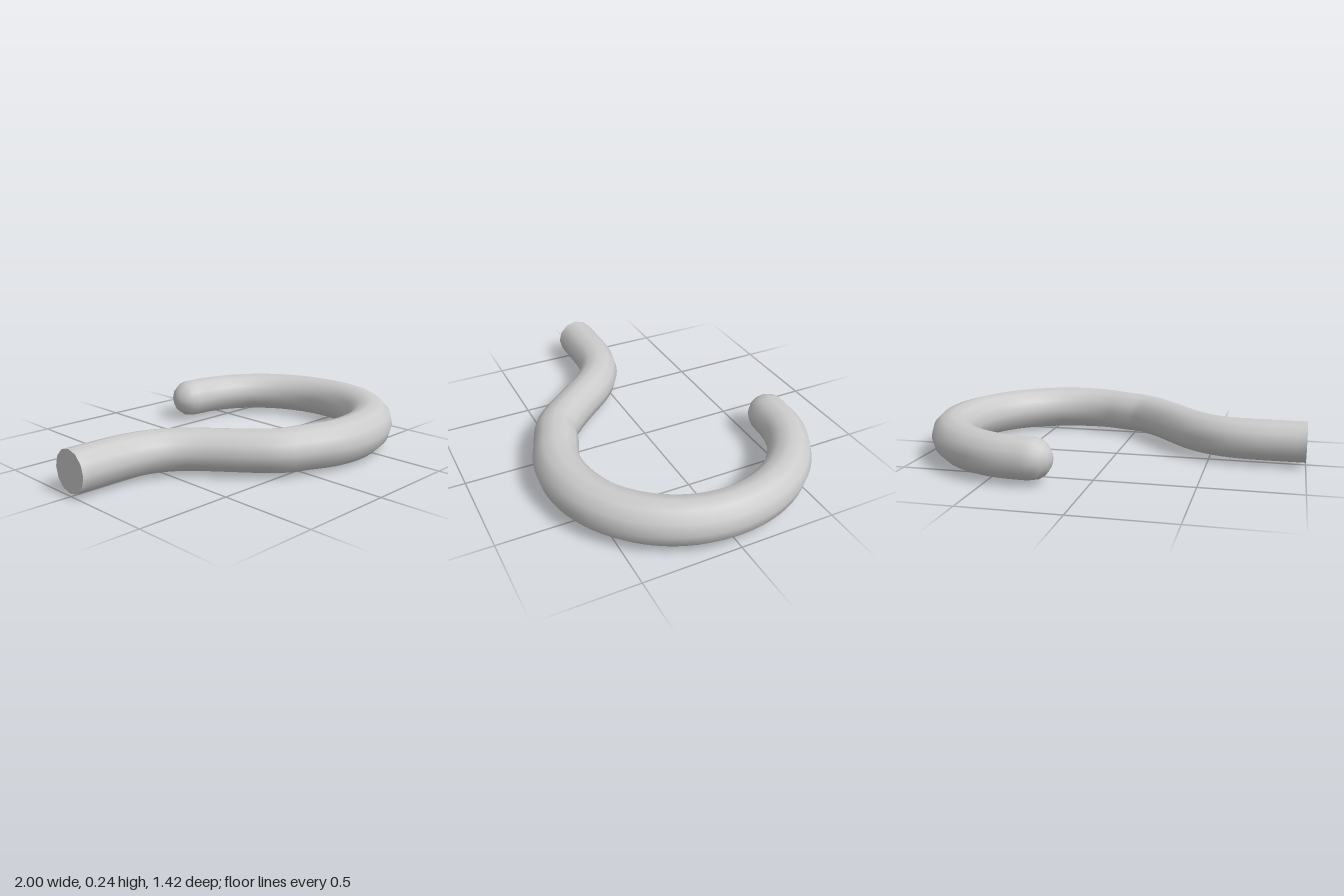
import * as THREE from 'three';
import { mergeVertices } from 'three/addons/utils/BufferGeometryUtils.js';

const HEIGHT = 0.122; // height of the bar's centre line
const SIDES = 12;

// Centre line: straight shank, S-bend, then a wide open loop
function hookPath() {
  const pts = [
    [-1, 0], [-0.88, 0], [-0.76, 0], [-0.66, 0.008], [-0.56, 0.033], [-0.46, 0.086],
    [-0.37, 0.165], [-0.27, 0.282], [-0.165, 0.4], [-0.07, 0.482],
  ];
  const steps = 14;
  for (let i = 0; i <= steps; i++) {
    const f = i / steps;
    const a = THREE.MathUtils.degToRad(118 - 210 * f);
    const r = 0.585 + 0.02 * THREE.MathUtils.smoothstep(f, 0.55, 1);
    pts.push([0.3 + r * Math.cos(a), r * Math.sin(a)]);
  }
  return new THREE.CatmullRomCurve3(pts.map(([x, z]) => new THREE.Vector3(x, HEIGHT, z)));
}

// Bar radius along the path: thickest at the belly of the loop
function barRadius(u) {
  const { lerp, smoothstep } = THREE.MathUtils;
  return u < 0.5
    ? lerp(0.109, 0.121, smoothstep(u, 0.22, 0.5))
    : lerp(0.121, 0.108, (u - 0.5) / 0.5);
}

// Turned bar with a rounded tip, bent along the path
function bentBar(path) {
  const length = path.getLength();
  const rings = 72;
  const profile = [];
  for (let i = 0; i <= rings; i++) {
    profile.push(new THREE.Vector2(barRadius(i / rings), (i / rings) * length));
  }
  const tip = barRadius(1);
  for (let i = 1; i <= 4; i++) {
    const a = (i / 4) * Math.PI / 2;
    profile.push(new THREE.Vector2(i === 4 ? 0 : tip * Math.cos(a), length + tip * Math.sin(a)));
  }
  let geo = new THREE.LatheGeometry(profile, SIDES);
  const pos = geo.attributes.position;
  const up = new THREE.Vector3(0, 1, 0);
  const v = new THREE.Vector3();
  for (let i = 0; i < pos.count; i++) {
    v.fromBufferAttribute(pos, i);
    const u = Math.min(Math.max(v.y / length, 0), 1);
    const tangent = path.getTangentAt(u);
    const side = new THREE.Vector3().crossVectors(up, tangent);
    const p = path.getPointAt(u)
      .addScaledVector(tangent, Math.max(v.y - length, 0))
      .addScaledVector(up, v.x)
      .addScaledVector(side, v.z);
    pos.setXYZ(i, p.x, p.y, p.z);
  }
  // Weld the seam so the shading stays smooth all round
  geo.deleteAttribute('uv');
  geo.deleteAttribute('normal');
  geo = mergeVertices(geo, 1e-5);
  geo.computeVertexNormals();
  return geo;
}

export function createModel() {
  const group = new THREE.Group();
  group.name = 'hook';
  const material = new THREE.MeshStandardMaterial({ color: 0xcccccc });

  const bar = new THREE.Mesh(bentBar(hookPath()), material);
  bar.name = 'hookBar';
  group.add(bar);

  // Flat cut end of the shank
  const end = new THREE.Mesh(new THREE.CircleGeometry(barRadius(0), SIDES), material);
  end.name = 'shankEnd';
  end.position.set(-1, HEIGHT, 0);
  end.rotation.y = -Math.PI / 2;
  group.add(end);

  return group;
}
